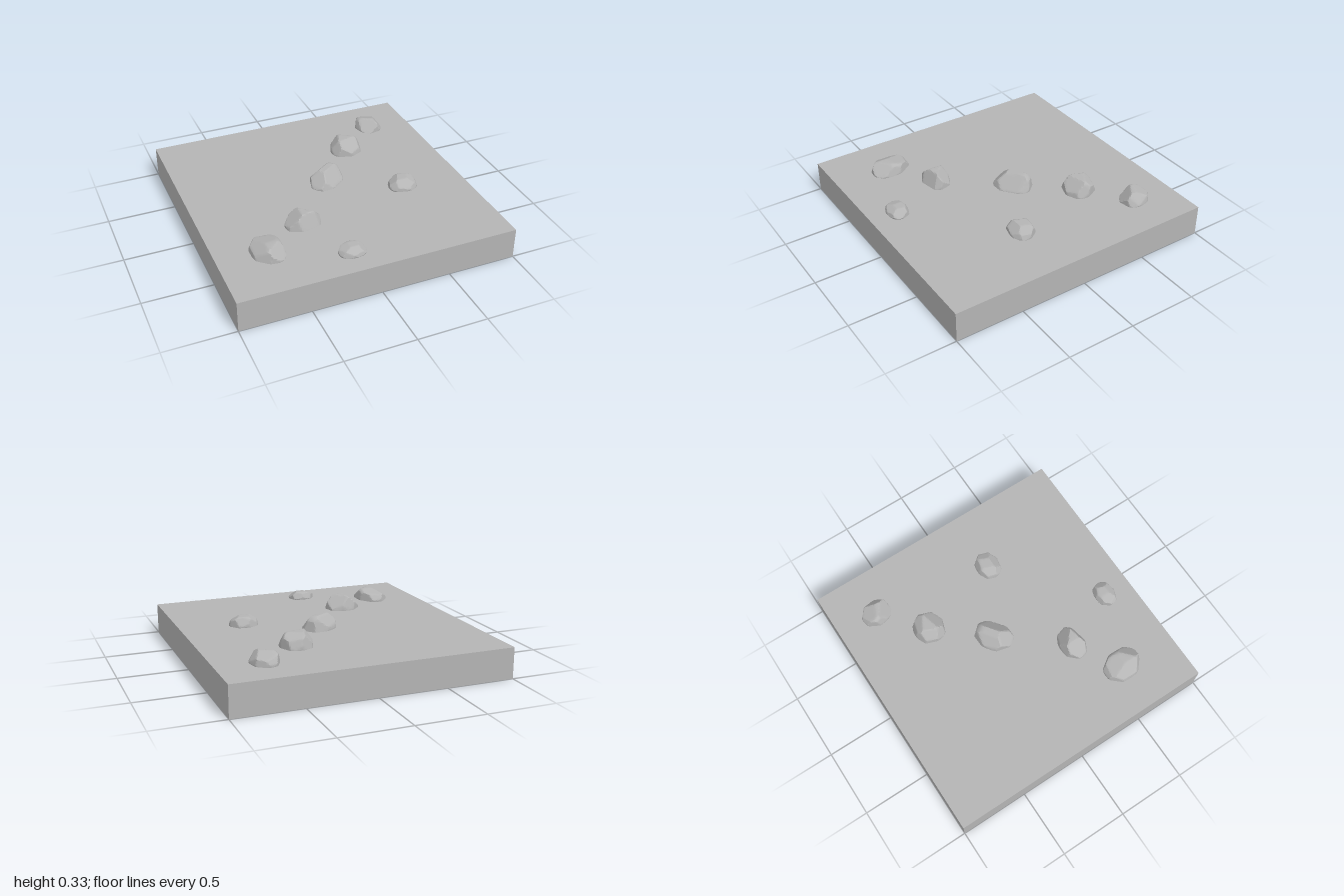
import * as THREE from 'three';
import { toCreasedNormals } from 'three/addons/utils/BufferGeometryUtils.js';

const SLAB_TOP = 0.225;
const WAIST = 0.24; // height at which every rock is widest
const FLAT = 0.88; // share of the dome left below its flat crown

// Rocks: centre, half widths, top height, turn, and main chips as
// [azimuth, elevation, distance], in degrees and rock radii.
const rocks = [
  { name: 'backRock', x: 0.667, z: -0.69, rx: 0.095, rz: 0.114, top: 0.308, yaw: 0.2,
    chips: [[130, 35, 0.72], [-60, 60, 0.75], [20, 35, 0.82]] },
  { name: 'roundRock', x: 0.355, z: -0.43, rx: 0.118, rz: 0.114, top: 0.332, yaw: 0,
    chips: [[75, 45, 0.76], [-60, 50, 0.9], [200, 35, 0.87]] },
  { name: 'middleRock', x: 0.045, z: -0.07, rx: 0.145, rz: 0.108, top: 0.332, yaw: 0.6,
    chips: [[85, 40, 0.65], [180, 35, 0.78], [-90, 40, 0.82]] },
  { name: 'rightRock', x: 0.535, z: 0.198, rx: 0.108, rz: 0.09, top: 0.296, yaw: 0,
    chips: [[90, 40, 0.77], [200, 40, 0.86], [20, 45, 0.85]] },
  { name: 'leftMiddleRock', x: -0.315, z: 0.37, rx: 0.128, rz: 0.095, top: 0.332, yaw: 0,
    chips: [[75, 25, 0.76], [180, 45, 0.72], [-40, 40, 0.76]] },
  { name: 'longRock', x: -0.648, z: 0.578, rx: 0.114, rz: 0.148, top: 0.306, yaw: 0.1,
    chips: [[-90, 65, 0.78], [190, 50, 0.76], [60, 30, 0.82], [130, 10, 0.86]] },
  { name: 'frontRock', x: -0.13, z: 0.792, rx: 0.099, rz: 0.076, top: 0.28, yaw: 0,
    chips: [[15, 30, 0.8], [90, 45, 0.8], [180, 55, 0.84]] },
];

function chipNormal(azimuth, elevation) {
  const a = THREE.MathUtils.degToRad(azimuth);
  const e = THREE.MathUtils.degToRad(elevation);
  return new THREE.Vector3(Math.cos(e) * Math.cos(a), Math.sin(e), Math.cos(e) * Math.sin(a));
}

// Chipped boulder: a rounded block whose surface is pulled in to each cutting plane.
function rockGeometry({ rx, rz, top, chips }, seed) {
  const cuts = chips.map(([a, e, distance]) => ({ normal: chipNormal(a, e), distance }));
  cuts.push({ normal: new THREE.Vector3(0, 1, 0), distance: FLAT });
  // Smaller facets around the rim
  for (let i = 0; i < 8; i++) {
    cuts.push({ normal: chipNormal(i * 45 + seed * 20, 12 + 10 * Math.sin(i * 2.3 + seed)), distance: 0.93 });
  }

  const geometry = new THREE.IcosahedronGeometry(1, 9);
  const position = geometry.attributes.position;
  const v = new THREE.Vector3();
  for (let i = 0; i < position.count; i++) {
    v.fromBufferAttribute(position, i).normalize();
    const bulge = Math.abs(v.x) ** 2.4 + Math.abs(v.y) ** 2.4 + Math.abs(v.z) ** 2.4;
    let radius = bulge ** (-1 / 2.4);
    for (const { normal, distance } of cuts) {
      const facing = v.dot(normal);
      if (facing > 0) radius = Math.min(radius, distance / facing);
    }
    v.multiplyScalar(radius);
    position.setXYZ(i, v.x, v.y, v.z);
  }
  geometry.scale(rx, (top - WAIST) / FLAT, rz);
  return toCreasedNormals(geometry, 0.4);
}

export function createModel() {
  const group = new THREE.Group();
  const stone = new THREE.MeshStandardMaterial({ name: 'stoneGrey', color: 0xb4b4b4 });

  // Square ground slab
  const slab = new THREE.Mesh(new THREE.BoxGeometry(2, SLAB_TOP, 2), stone);
  slab.name = 'groundSlab';
  slab.position.y = SLAB_TOP / 2;
  group.add(slab);

  // Scattered boulders, sunk slightly into the slab
  rocks.forEach((rock, seed) => {
    const mesh = new THREE.Mesh(rockGeometry(rock, seed), stone);
    mesh.name = rock.name;
    mesh.position.set(rock.x, WAIST, rock.z);
    mesh.rotation.y = rock.yaw;
    group.add(mesh);
  });
  return group;
}
